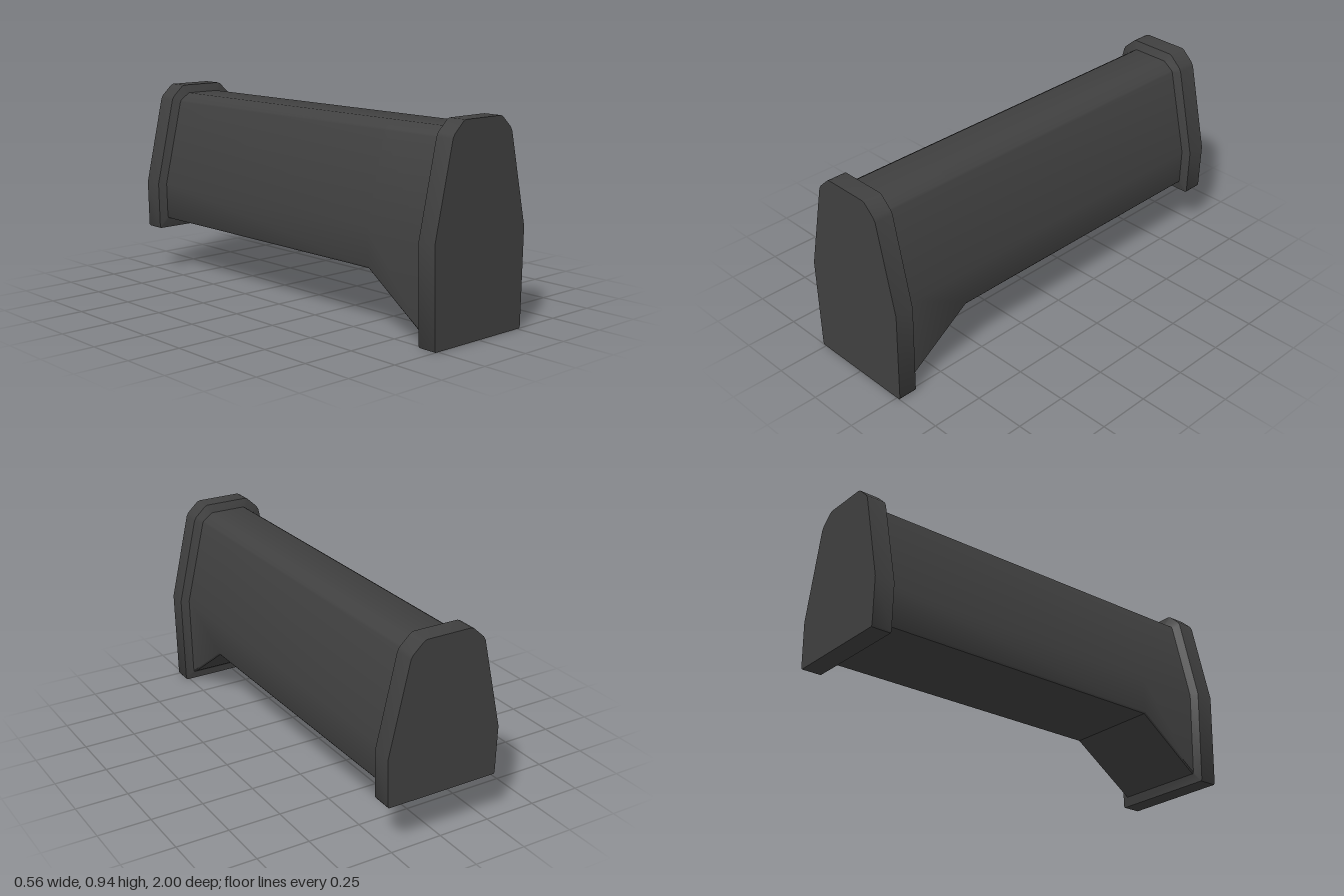
import * as THREE from 'three';
import { toCreasedNormals } from 'three/addons/utils/BufferGeometryUtils.js';

// Symmetric outline, counter-clockwise from +z: inset shrinks it, bottom sets its lower edge
function outline(inset, bottom, z) {
  const chamfer = 0.008;
  const wide = (y) => 0.279 - inset - (0.45 - y) * 0.022;
  const half = [
    [wide(bottom) - 0.005, bottom],
    [wide(bottom + chamfer), bottom + chamfer],
    [0.279 - inset, 0.45],
    [0.183 - inset, 0.87 - inset * 0.3],
    [0.173 - inset * 0.9, 0.888 - inset * 0.5],
    [0.122 - inset * 0.6, 0.935 - inset],
    [0.108 - inset * 0.5, 0.941 - inset],
  ];
  const mirrored = half.map(([x, y]) => [-x, y]).reverse();
  return [...half, ...mirrored].map(([x, y]) => new THREE.Vector3(x, y, z));
}

// Skin rings running from front to back, with optional flat end caps
function loft(rings, capFront, capBack) {
  const points = [];
  const n = rings[0].length;
  for (let r = 0; r < rings.length - 1; r++) {
    for (let i = 0; i < n; i++) {
      const j = (i + 1) % n;
      const [a, b, c, d] = [rings[r][i], rings[r][j], rings[r + 1][j], rings[r + 1][i]];
      points.push(a, d, b, b, d, c);
    }
  }
  const first = rings[0], last = rings[rings.length - 1];
  for (let i = 1; i < n - 1; i++) {
    if (capFront) points.push(first[0], first[i], first[i + 1]);
    if (capBack) points.push(last[0], last[i + 1], last[i]);
  }
  const geometry = new THREE.BufferGeometry().setFromPoints(points);
  return toCreasedNormals(geometry, 0.62);
}

export function createModel() {
  const group = new THREE.Group();
  const charcoal = new THREE.MeshStandardMaterial({ color: 0x404040 });
  charcoal.name = 'charcoal';

  const add = (name, geometry) => {
    const mesh = new THREE.Mesh(geometry, charcoal);
    mesh.name = name;
    group.add(mesh);
  };

  const inset = 0.039;

  // Long beam whose underside slopes down to the taller front plate
  add('beam', loft([
    outline(inset, 0.043, 0.895),
    outline(inset, 0.055, 0.875),
    outline(inset, 0.272, 0.575),
    outline(inset, 0.272, -0.89),
  ], false, false));

  // End plates, each bevelled towards the beam
  add('frontPlate', loft([
    outline(0, 0, 1),
    outline(0, 0, 0.91),
    outline(inset, 0.043, 0.895),
  ], true, false));

  add('backPlate', loft([
    outline(inset, 0.272, -0.89),
    outline(0, 0.221, -0.905),
    outline(0, 0.221, -1),
  ], false, true));

  return group;
}
